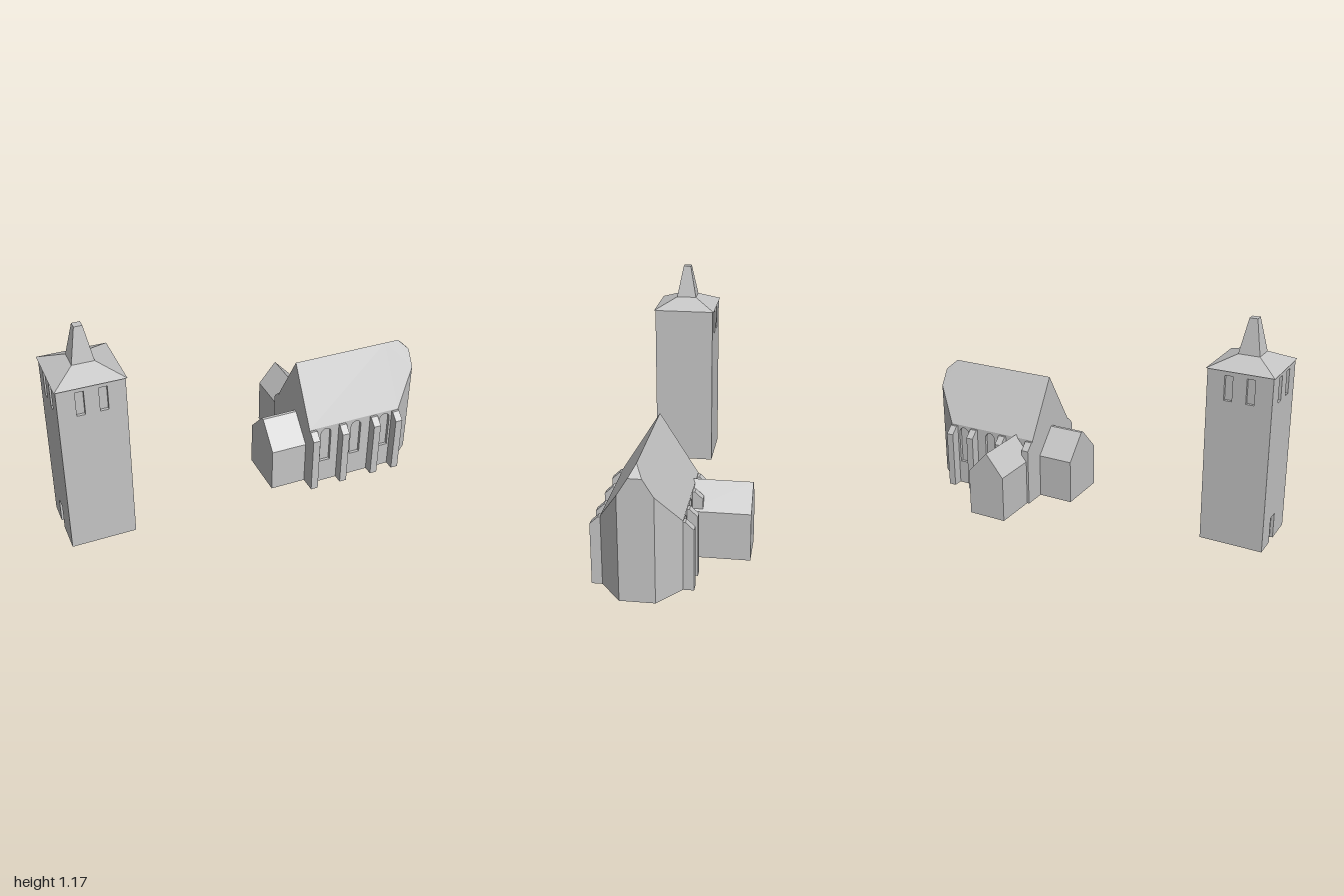
import * as THREE from 'three';
import { ConvexGeometry } from 'three/addons/geometries/ConvexGeometry.js';

const stone = new THREE.MeshStandardMaterial({ color: 0xc4c4c4 });
stone.name = 'paleStone';

function add(parent, name, geometry, x = 0, y = 0, z = 0, turn = 0) {
  const mesh = new THREE.Mesh(geometry, stone);
  mesh.name = name;
  mesh.position.set(x, y, z);
  mesh.rotation.y = turn;
  parent.add(mesh);
  return mesh;
}

const hull = (points) => new ConvexGeometry(points.map((p) => new THREE.Vector3(...p)));

// Solid between two horizontal squares given by their half widths
function squareFrustum(h0, y0, h1, y1) {
  const points = [];
  for (const [h, y] of [[h0, y0], [h1, y1]])
    for (const sx of [-1, 1]) for (const sz of [-1, 1]) points.push([sx * h, y, sz * h]);
  return hull(points);
}

// Upright profile given in [across, y], extruded along local z
function prism(profile, depth) {
  const shape = new THREE.Shape(profile.map((p) => new THREE.Vector2(...p)));
  return new THREE.ExtrudeGeometry(shape, { depth, bevelEnabled: false });
}

function opening({ x, y0, y1, w, arched }) {
  const r = w / 2, hole = new THREE.Path();
  hole.moveTo(x - r, y0);
  hole.lineTo(x + r, y0);
  if (arched) {
    hole.lineTo(x + r, y1 - r);
    hole.absarc(x, y1 - r, r, 0, Math.PI, false);
  } else {
    hole.lineTo(x + r, y1);
    hole.lineTo(x - r, y1);
  }
  hole.closePath();
  return hole;
}

// Wall skin with window openings and an optional doorway cut from its foot
function wall(w, h, depth, windows, door) {
  const s = new THREE.Shape();
  s.moveTo(-w / 2, 0);
  if (door) {
    const a = door.x - door.w / 2, b = door.x + door.w / 2;
    s.lineTo(a, 0);
    s.lineTo(a, door.h);
    s.lineTo(b, door.h);
    s.lineTo(b, 0);
  }
  s.lineTo(w / 2, 0);
  s.lineTo(w / 2, h);
  s.lineTo(-w / 2, h);
  s.closePath();
  s.holes = windows.map(opening);
  return new THREE.ExtrudeGeometry(s, { depth, bevelEnabled: false, curveSegments: 12 });
}

function createTower() {
  const tower = new THREE.Group();
  tower.name = 'bellTower';
  const half = 0.168, t = 0.016, h = 0.936, core = half - t;
  const slits = [-0.057, 0.057].map((x) => ({ x, y0: 0.78, y1: 0.91, w: 0.042 }));
  const door = { x: -0.023, w: 0.06, h: 0.14 };

  add(tower, 'towerCore', new THREE.BoxGeometry(core * 2, h, core * 2), 0, h / 2, 0);
  add(tower, 'towerFrontWall', wall(half * 2, h, t, slits), 0, 0, core);
  add(tower, 'towerBackWall', wall(half * 2, h, t, slits), 0, 0, -core, Math.PI);
  add(tower, 'towerDoorWall', wall(core * 2, h, t, slits, door), -core, 0, 0, -Math.PI / 2);
  add(tower, 'towerPlainWall', wall(core * 2, h, t, []), core, 0, 0, Math.PI / 2);

  // Low pyramid roof and blunt spire
  add(tower, 'towerRoof', squareFrustum(0.175, 0.934, 0.056, 0.99));
  add(tower, 'spire', squareFrustum(0.056, 0.99, 0.021, 1.168));
  tower.position.set(-0.825, 0, 0.14);
  return tower;
}

function createChurch() {
  const church = new THREE.Group();
  church.name = 'church';
  const x0 = 0.325, x1 = 0.865, half = 0.193, eave = 0.36, ridge = 0.672, t = 0.016;
  const mid = (x0 + x1) / 2, length = x1 - x0, core = half - t;

  // Nave walls, with arched windows on both long sides
  add(church, 'naveCore', new THREE.BoxGeometry(length, eave, core * 2), mid, eave / 2, 0);
  for (const side of [1, -1]) {
    const windows = [0.425, 0.607, 0.783].map((x) => (
      { x: side * (x - mid), y0: 0.135, y1: 0.346, w: 0.06, arched: true }));
    add(church, side > 0 ? 'naveFrontWall' : 'naveBackWall',
      wall(length, eave, t, windows), mid, 0, side * core, side > 0 ? 0 : Math.PI);

    // Buttresses with sloping caps
    for (const x of [0.345, 0.52, 0.711, 0.845]) {
      const turn = side > 0 ? -Math.PI / 2 : Math.PI / 2;
      const profile = [[half - 0.01, 0], [half + 0.052, 0], [half + 0.052, 0.315],
        [half + 0.012, 0.353], [half - 0.01, 0.353]];
      add(church, 'buttress', prism(profile, 0.04), x + side * 0.02, 0, 0, turn);
    }
  }

  // Steep gabled roof
  add(church, 'naveRoof', prism([[-half, eave], [half, eave], [0, ridge]], length),
    x0, 0, 0, Math.PI / 2);

  // Chancel end with canted corners and a small hip at the ridge
  const end = 0.085, endTop = eave + (1 - end / half) * (ridge - eave);
  const points = [[x1, ridge, 0], [0.945, ridge, 0]];
  for (const s of [-1, 1])
    points.push([x1, 0, s * half], [x1, eave, s * half], [1, 0, s * end],
      [1, endTop, s * end], [1, 0.62, s * 0.032]);
  add(church, 'chancel', hull(points));

  // Porch at the gable end
  add(church, 'porch', prism([[-0.155, 0], [0.12, 0], [0.12, 0.242], [-0.008, 0.375],
    [-0.025, 0.375], [-0.155, 0.242]], 0.2), 0.13, 0, 0, Math.PI / 2);

  // Vestry behind the nave
  add(church, 'vestry', prism([[0.337, 0], [0.55, 0], [0.55, 0.252], [0.435, 0.375],
    [0.337, 0.252]], 0.31), 0, 0, -0.483);

  church.position.z = 0.118;
  return church;
}

export function createModel() {
  const model = new THREE.Group();
  model.name = 'churchWithDetachedTower';
  model.add(createTower(), createChurch());
  return model;
}
